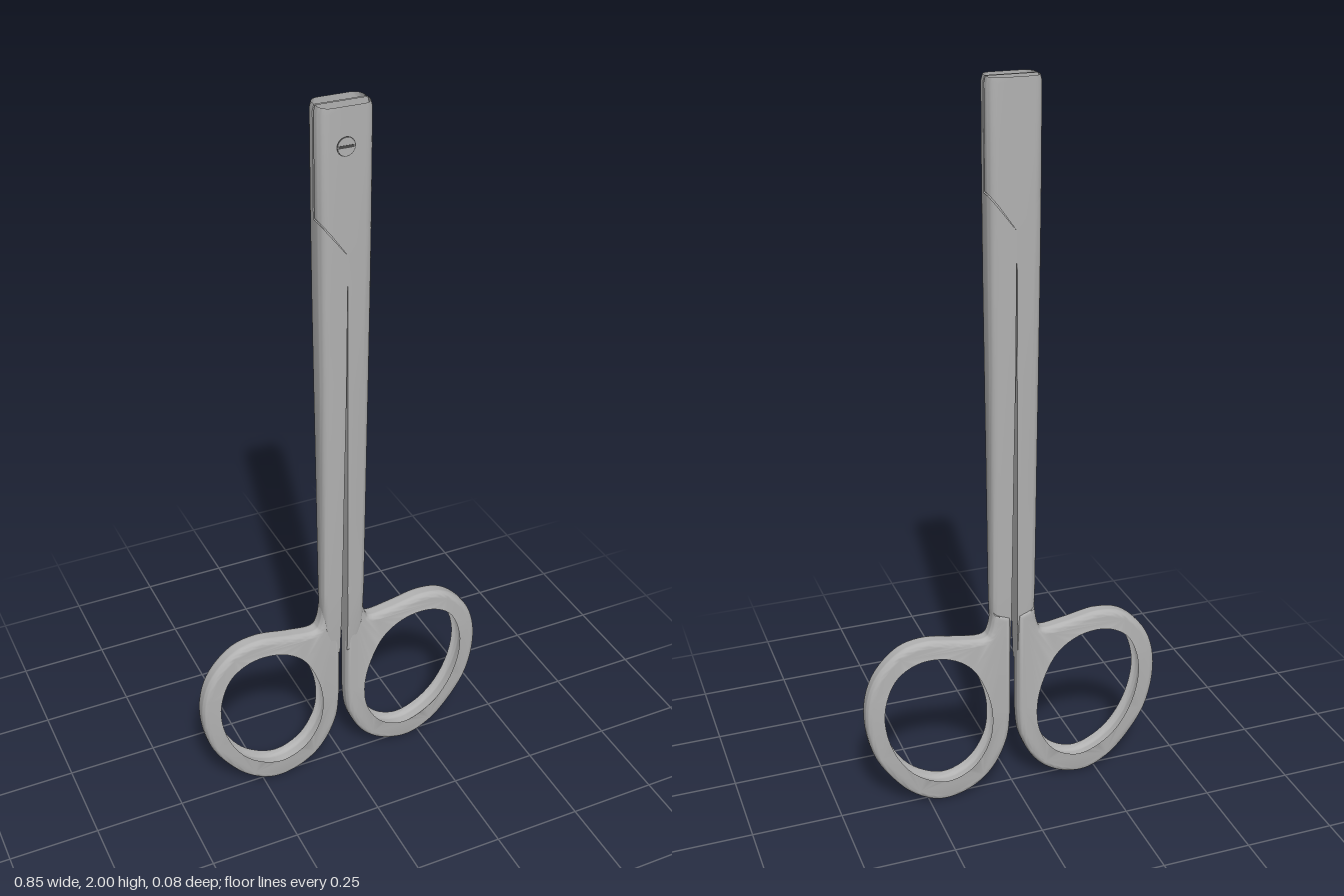
import * as THREE from 'three';
import { mergeVertices, toCreasedNormals } from 'three/addons/utils/BufferGeometryUtils.js';

const steel = new THREE.MeshStandardMaterial({ color: 0xb2b2b2, side: THREE.DoubleSide });
steel.name = 'steel';
const slotGrey = new THREE.MeshStandardMaterial({ color: 0x4a4a4a });
slotGrey.name = 'slot grey';

const HALF_W = 0.07, HALF_D = 0.041, ROUND = 0.62;
// Slanted shoulder where arm and jaw plate meet
const shoulder = (x) => 1.63 + 1.28 * Math.abs(x);

// Quarter-round corner points in the x-z plane
function corner(cx, cz, r, from) {
  return Array.from({ length: 7 }, (_, i) => {
    const a = from + (i / 6) * Math.PI / 2;
    return [cx + r * Math.cos(a), cz + r * Math.sin(a)];
  });
}

// Skin over closed loops of [x, y, z] points, stacked upwards
function loft(loops, capped) {
  const n = loops[0].length, index = [];
  for (let k = 0; k < loops.length - 1; k++) {
    for (let i = 0; i < n; i++) {
      const a = k * n + i, b = k * n + (i + 1) % n;
      index.push(a, a + n, b, b, a + n, b + n);
    }
  }
  if (capped) {
    const top = (loops.length - 1) * n;
    for (let i = 1; i < n - 1; i++) index.push(0, i, i + 1, top, top + i + 1, top + i);
  }
  const g = new THREE.BufferGeometry();
  g.setAttribute('position', new THREE.Float32BufferAttribute(loops.flat(2), 3));
  g.setIndex(index);
  return toCreasedNormals(g, 0.6);
}

// Long arm: flat inner face, rounded outer side
function armGeometry() {
  // y, inner x, outer x, half depth
  const stations = [
    [0.40, 0.011, 0.042, 0.018], [0.50, 0.010, 0.060, 0.024], [0.62, 0.008, 0.063, 0.027],
    [1.00, 0.005, 0.065, 0.034], [1.25, 0.002, 0.067, 0.038], [1.50, 0.001, 0.069, 0.040],
    [null, 0.000, HALF_W, HALF_D],
  ];
  return loft(stations.map(([y, xi, xo, d]) => {
    const r = d * ROUND;
    return [[xi, -d], ...corner(xo - r, r - d, r, -Math.PI / 2), ...corner(xo - r, d - r, r, 0), [xi, d]]
      .map(([x, z]) => [x, y ?? shoulder(x), z]);
  }), true);
}

// Jaw plate: half-depth shell across the full width, open at the cut end
function plateGeometry() {
  const section = (w) => {
    const r = HALF_D * ROUND, z0 = 0.003;
    return [[0, z0], [w, z0], ...corner(w - r, HALF_D - r, r, 0), [0, HALF_D],
      ...corner(r - w, HALF_D - r, r, Math.PI / 2), [-w, z0]];
  };
  return loft([
    section(HALF_W).map(([x, z]) => [x, shoulder(x) + (x < 0 ? 0.005 : 0), z]),
    section(HALF_W).map(([x, z]) => [x, 1.985, z]),
    section(HALF_W - 0.004).map(([x, z]) => [x, 2, z]),
  ], false);
}

// Finger ring with the web that joins it to the arm
function ringGeometry() {
  const pts = (list) => list.map(([x, y]) => new THREE.Vector2(x, y));
  const shape = new THREE.Shape();
  shape.moveTo(0.01, 0.25);
  shape.lineTo(0.01, 0.55);
  shape.lineTo(0.06, 0.57);
  shape.splineThru(pts([[0.068, 0.52], [0.088, 0.495], [0.16, 0.503], [0.25, 0.517], [0.33, 0.497],
    [0.4, 0.42], [0.425, 0.31], [0.402, 0.18], [0.33, 0.07], [0.26, 0.015], [0.195, 0],
    [0.12, 0.022], [0.06, 0.075], [0.02, 0.16], [0.01, 0.25]]));
  const hole = new THREE.Path();
  const rim = new THREE.CatmullRomCurve3([[0.05, 0.24], [0.066, 0.33], [0.115, 0.425], [0.19, 0.472],
    [0.28, 0.475], [0.352, 0.43], [0.39, 0.32], [0.367, 0.19], [0.3, 0.092], [0.2, 0.047],
    [0.115, 0.078], [0.063, 0.155]].map(([x, y]) => new THREE.Vector3(x, y, 0)), true);
  hole.setFromPoints(pts(rim.getPoints(64).map((p) => [p.x, p.y])));
  shape.holes.push(hole);
  const g = new THREE.ExtrudeGeometry(shape, {
    depth: 0.018, curveSegments: 5, bevelEnabled: true, bevelSize: 0.016,
    bevelOffset: -0.016, bevelThickness: 0.017, bevelSegments: 5,
  });
  g.translate(0, 0, -0.009);
  g.deleteAttribute('uv');
  g.deleteAttribute('normal');
  return toCreasedNormals(mergeVertices(g, 1e-5), 0.7);
}

function mesh(name, geometry, material, parent) {
  const m = new THREE.Mesh(geometry, material);
  m.name = name;
  parent.add(m);
  return m;
}

export function createModel() {
  const model = new THREE.Group();
  model.name = 'scissorHandles';
  const arm = armGeometry(), plate = plateGeometry(), ring = ringGeometry();

  // The two halves are the same piece turned half way round
  for (const side of [1, -1]) {
    const half = new THREE.Group();
    half.name = side > 0 ? 'leftHalf' : 'rightHalf';
    mesh('arm', arm, steel, half);
    mesh('jawPlate', plate, steel, half);
    mesh('fingerRing', ring, steel, half).position.z = -0.005 * side;
    half.rotation.y = side > 0 ? 0 : Math.PI;
    model.add(half);
  }

  // Pivot screw with its slot
  const screw = new THREE.Group();
  screw.name = 'pivotScrew';
  screw.position.set(-0.006, 1.905, 0);
  const shaft = mesh('screwShaft', new THREE.CylinderGeometry(0.022, 0.022, 0.043, 28), steel, screw);
  shaft.rotation.x = Math.PI / 2;
  shaft.position.z = 0.0215;
  const rim = mesh('screwRim', new THREE.RingGeometry(0.021, 0.0245, 28), slotGrey, screw);
  rim.position.z = 0.0415;
  const slot = mesh('screwSlot', new THREE.BoxGeometry(0.041, 0.007, 0.002), slotGrey, screw);
  slot.position.z = 0.0425;
  model.add(screw);

  return model;
}
